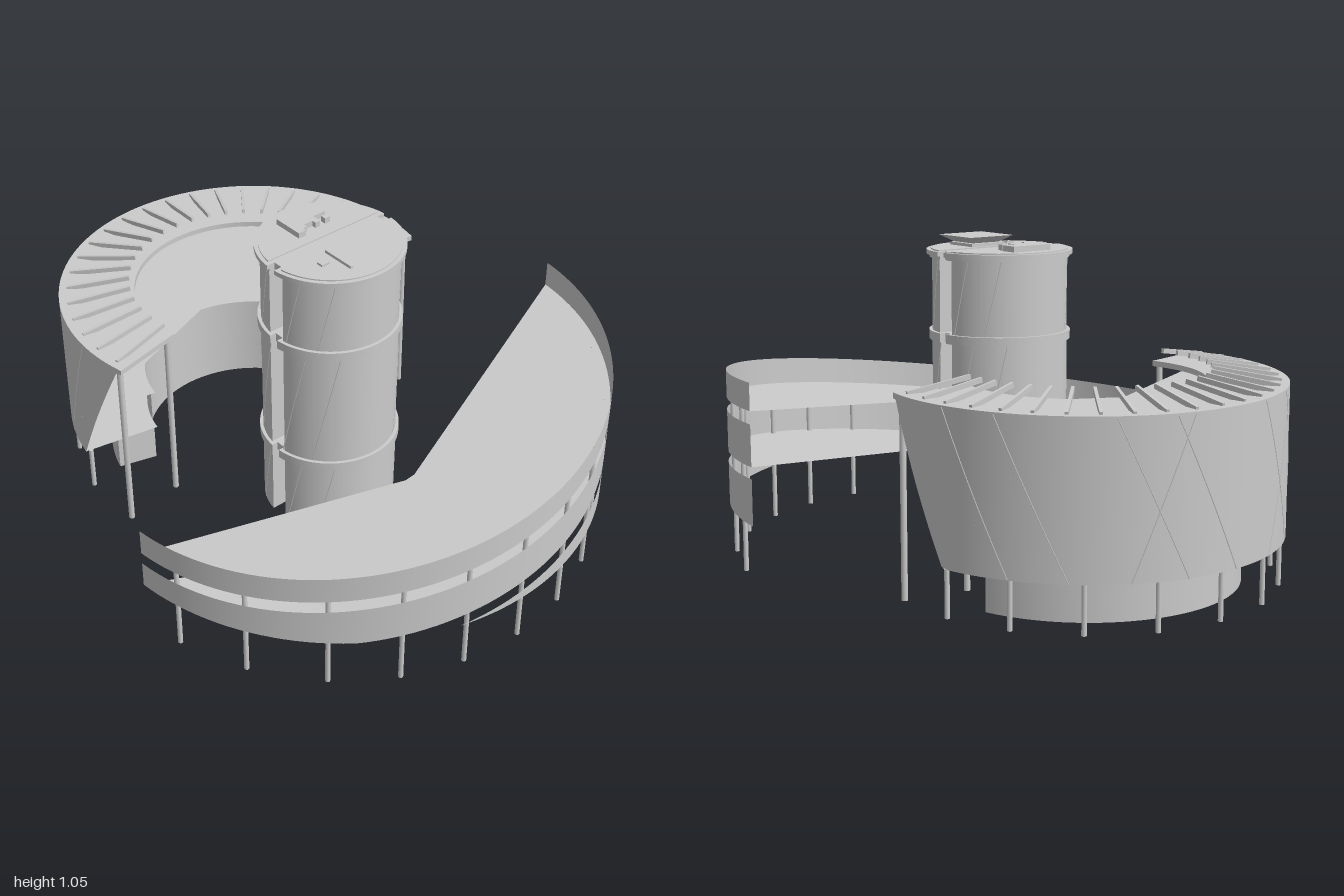
import * as THREE from 'three';
import { toCreasedNormals } from 'three/addons/utils/BufferGeometryUtils.js';

const grey = new THREE.MeshStandardMaterial({ color: 0xcccccc });
const thin = new THREE.MeshStandardMaterial({ color: 0xcccccc, side: THREE.DoubleSide });
const rad = THREE.MathUtils.degToRad;
const mix = THREE.MathUtils.lerp;

function add(parent, name, geometry, material = grey) {
  const mesh = new THREE.Mesh(geometry, material);
  mesh.name = name;
  parent.add(mesh);
  return mesh;
}

function group(parent, name) {
  const g = new THREE.Group();
  g.name = name;
  parent.add(g);
  return g;
}

// Ruled surface: f(t) returns the two edge points at t = 0..1
function strip(n, f) {
  const pos = [], index = [];
  for (let i = 0; i <= n; i++) {
    const [p, q] = f(i / n);
    pos.push(...p, ...q);
    if (i < n) index.push(2 * i, 2 * i + 2, 2 * i + 1, 2 * i + 1, 2 * i + 2, 2 * i + 3);
  }
  const g = new THREE.BufferGeometry();
  g.setAttribute('position', new THREE.Float32BufferAttribute(pos, 3));
  g.setIndex(index);
  g.computeVertexNormals();
  return g;
}

// Plan outline extruded upward from y0 to y1
function slab(shape, y0, y1) {
  const g = new THREE.ExtrudeGeometry(shape, { depth: y1 - y0, bevelEnabled: false, curveSegments: 40 });
  g.rotateX(-Math.PI / 2).translate(0, y0, 0);
  return toCreasedNormals(g, 0.5);
}

function sector(cx, r0, r1, a0, a1) {
  const s = new THREE.Shape();
  s.absarc(cx, 0, r1, a0, a1, false);
  s.absarc(cx, 0, r0, a1, a0, true);
  return s;
}

// Half disc cut back from the tower slot
function halfDisc(cx, r, turn) {
  const s = new THREE.Shape(), open = Math.acos(0.032 / r);
  s.absarc(cx, 0, r, turn - open, turn + open, false);
  return s;
}

function column(parent, x, z, y1, r = 0.008) {
  add(parent, 'column', new THREE.CylinderGeometry(r, r, y1, 10).translate(x, y1 / 2, z));
}

function box(parent, name, w, h, d, x, y, z) {
  return add(parent, name, new THREE.BoxGeometry(w, h, d).translate(x, y, z));
}

// Thin raised seam wound around a vertical cylinder
function seam(parent, cx, r, a0, a1, y0, y1) {
  const pts = [];
  for (let i = 0; i <= 8; i++) {
    const a = mix(a0, a1, i / 8);
    pts.push(new THREE.Vector3(cx + r * Math.cos(a), mix(y0, y1, i / 8), r * Math.sin(a)));
  }
  add(parent, 'panelSeam', new THREE.TubeGeometry(new THREE.CatmullRomCurve3(pts), 16, 0.002, 4));
}

// Inner edge of a floor: end -> corner -> end, as t goes 0..1
function bent(t, a, corner, b) {
  const [p, q, k] = t < 0.5 ? [a, corner, t * 2] : [corner, b, t * 2 - 1];
  return [mix(p[0], q[0], k), mix(p[1], q[1], k)];
}

function buildTower(root) {
  const tower = group(root, 'tower');
  const cx = 0.07, r = 0.222;
  // Two half shafts with an open slot between them
  for (const turn of [0, Math.PI]) {
    add(tower, 'halfShaft', slab(halfDisc(cx, r, turn), 0.01, 1.0));
    add(tower, 'roofCap', slab(halfDisc(cx, 0.226, turn), 1.0, 1.014));
    for (const [y0, y1] of [[0.01, 0.275], [0.305, 0.715], [0.745, 0.99]])
      for (const a of [-1.25, -0.75, 0.75, 1.25])
        seam(tower, cx, r, turn + a + (y1 - y0) * 0.5, turn + a - (y1 - y0) * 0.5, y0, y1);
  }
  // Notched floor discs tie the halves together
  const disc = (rr) => {
    const s = new THREE.Shape(), n = Math.asin(0.017 / rr), h = Math.PI / 2;
    s.absarc(cx, 0, rr, -h + n, h - n, false);
    s.lineTo(cx + 0.017, 0.21);
    s.lineTo(cx - 0.017, 0.21);
    s.absarc(cx, 0, rr, h + n, 3 * h - n, false);
    s.lineTo(cx - 0.017, -0.21);
    s.lineTo(cx + 0.017, -0.21);
    return s;
  };
  for (const [rr, y0, y1] of [[0.233, 0.273, 0.303], [0.233, 0.715, 0.745], [0.23, 0.985, 0.995], [0.24, 0.995, 1.01]])
    add(tower, 'floorBand', slab(disc(rr), y0, y1));
  // Roof plant: stepped housing, vents and a flared canopy
  const steps = [[-0.11, 0.08], [-0.05, 0.08], [-0.05, 0.03], [-0.03, 0.03], [-0.03, -0.04], [0, -0.04], [0, -0.07], [-0.11, -0.07]];
  add(tower, 'roofHousing', slab(new THREE.Shape(steps.map((p) => new THREE.Vector2(...p))), 1.01, 1.033));
  for (const z of [-0.06, -0.02, 0.035]) box(tower, 'roofVent', 0.02, 0.02, 0.02, -0.025, 1.023, z);
  box(tower, 'roofHatch', 0.025, 0.01, 0.03, 0.16, 1.016, 0.105);
  const canopy = new THREE.CylinderGeometry(0.125, 0.07, 0.025, 4).rotateY(Math.PI / 4).toNonIndexed();
  canopy.computeVertexNormals();
  add(tower, 'roofCanopy', canopy.translate(0.185, 1.034, -0.01));
  box(tower, 'canopyBase', 0.12, 0.012, 0.14, 0.175, 1.018, -0.01);
}

function buildCurvedHall(root) {
  const hall = group(root, 'curvedHall');
  const cx = -0.36, R = 0.64, low = 0.155, top = 0.635;
  const at = (deg, r) => [cx + r * Math.cos(rad(deg)), r * Math.sin(rad(deg))];
  // Outer wall, its ends cut along a slope
  add(hall, 'outerWall', strip(100, (t) => {
    const [x, z] = at(mix(77, 283, t), R);
    return [[x, Math.min(top, Math.max(low, low + (x + 0.47) / 0.5)), z], [x, top, z]];
  }), thin);
  // Upper floors with bent inner edges
  for (const [y, vx] of [[0.455, -0.58], [0.605, -0.56]]) {
    const end = THREE.MathUtils.radToDeg(Math.acos((-0.47 + (y - low) * 0.5 - cx) / R));
    add(hall, 'upperFloor', strip(60, (t) => {
      const [x, z] = at(mix(end, 360 - end, t), R);
      const [u, w] = bent(t, at(end, R), [vx, -0.01], at(-end, R));
      return [[x, y, z], [u, y, w]];
    }), thin);
  }
  // Lower floors and the curved inner wall
  for (const y of [low, 0.305])
    add(hall, 'lowerFloor', strip(60, (t) => {
      const a = mix(100, 260, t), [x, z] = at(a, R), [u, w] = at(a, 0.37);
      return [[x, y, z], [u, y, w]];
    }), thin);
  add(hall, 'innerWall', strip(60, (t) => {
    const [x, z] = at(mix(107, 253, t), 0.37);
    return [[x, low, z], [x, 0.305, z]];
  }), thin);
  // Ring roof and thin radial fins rising toward the court
  add(hall, 'ringRoof', slab(sector(cx, 0.385, R, rad(77), rad(283)), 0.622, top + 0.005));
  for (let i = -11; i <= 11; i++) {
    const fin = add(hall, 'roofFin', new THREE.BoxGeometry(0.215, 0.016, 0.01).rotateZ(-0.16).translate(0.508, 0.657, 0));
    fin.position.x = cx;
    fin.rotation.y = rad(180 + i * 9);
  }
  // Recessed base ring
  add(hall, 'baseRing', slab(sector(cx, 0.37, 0.505, rad(105), rad(255)), 0, low));
  // Columns
  for (let a = 100; a <= 260; a += 20) column(hall, ...at(a, 0.622), low);
  for (const s of [1, -1]) {
    column(hall, -0.245, s * 0.61, 0.625, 0.01);
    column(hall, -0.28, s * 0.4, 0.625, 0.01);
  }
  // Diagonal facade seams
  for (let i = 0; i < 9; i++) {
    const a = rad(112 + i * 16);
    seam(hall, cx, R, a, a + (i % 3 ? 0.35 : -0.3), low, top);
  }
}

function buildRamp(root) {
  const ramp = group(root, 'crescentRamp');
  const cx = 0.126, R = 0.874, end = rad(84.5), base = 0.178, slope = 0.136;
  const at = (a, r = R) => [cx + r * Math.cos(a), r * Math.sin(a)];
  // Sloping parapets: height of top edge at z = 0, band depth, last angle; clipped at the base
  const bands = [[0.518, 0.09, end], [0.386, 0.136, end], [0.211, 0.3, Math.asin(0.24 / R)]];
  bands.forEach(([h, depth, last], level) => {
    const topY = (z) => Math.max(base, h - slope * z);
    const bottomY = (z) => Math.max(base, h - depth - slope * z);
    add(ramp, 'parapet', strip(72, (t) => {
      const [x, z] = at(mix(-end, last, t));
      return [[x, bottomY(z), z], [x, topY(z), z]];
    }), thin);
    if (level === 2) return;
    // Deck with a straight-sided inner edge
    add(ramp, 'rampDeck', strip(72, (t) => {
      const [x, z] = at(mix(-end, end, t));
      const k = z < 0.09 ? (z + 0.87) / 0.96 : (0.87 - z) / 0.78;
      return [[x, bottomY(z), z], [mix(0.21, 0.57, Math.max(0, k)), bottomY(z), z]];
    }), thin);
  });
  // Perimeter columns up to the upper deck
  for (const d of [-76, -60, -43, -28, -14, 0, 14, 28, 43, 60, 76]) {
    const [x, z] = at(rad(d), 0.855);
    column(ramp, x, z, 0.428 - slope * z);
  }
}

export function createModel() {
  const root = new THREE.Group();
  root.name = 'buildingComplex';
  buildTower(root);
  buildCurvedHall(root);
  buildRamp(root);
  return root;
}
